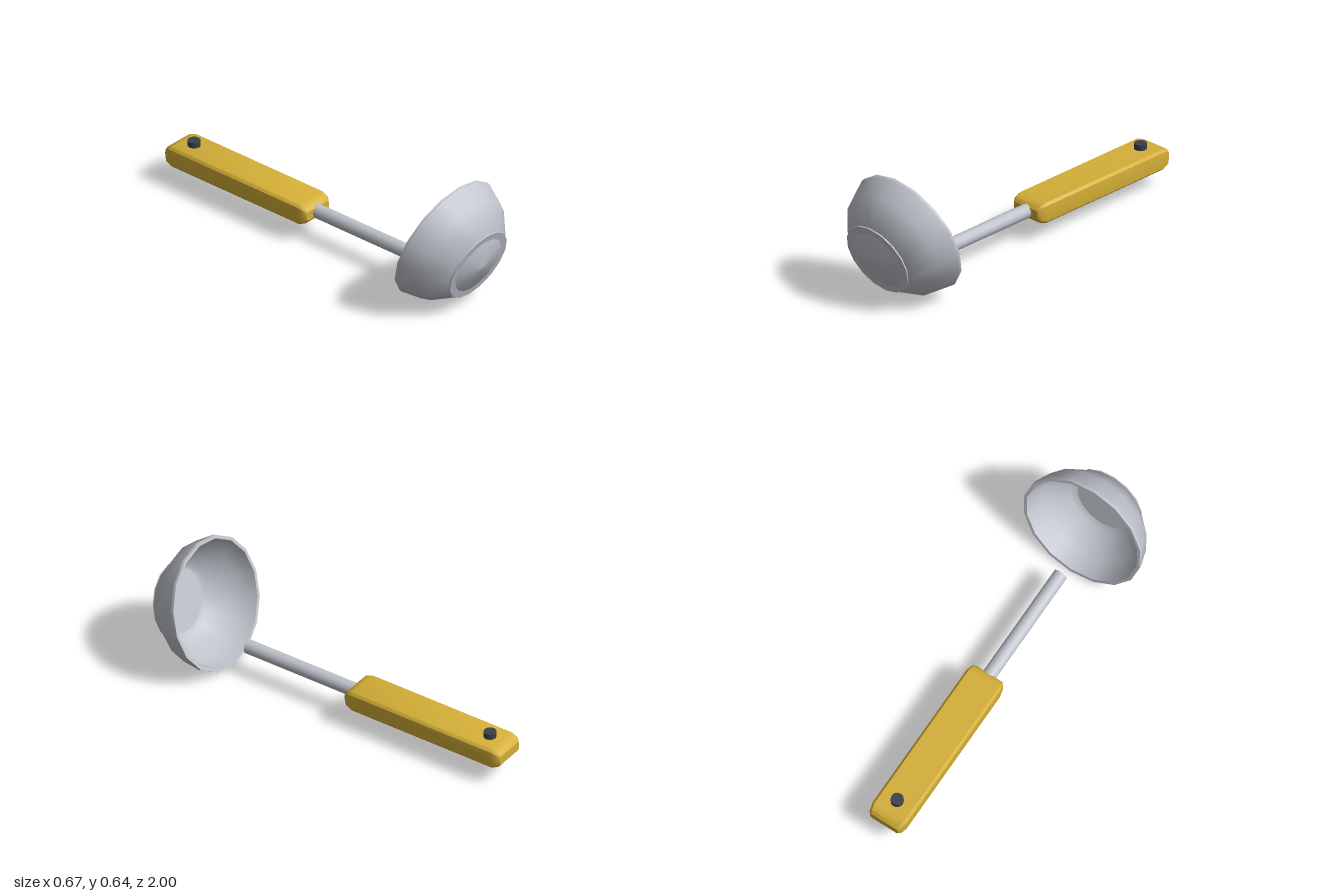
import * as THREE from 'three';
import { toCreasedNormals } from 'three/addons/utils/BufferGeometryUtils.js';

const material = (name, color) => {
  const m = new THREE.MeshStandardMaterial({ color });
  m.name = name;
  return m;
};

function add(parent, name, geometry, mat, x = 0, y = 0, z = 0) {
  const mesh = new THREE.Mesh(geometry, mat);
  mesh.name = name;
  mesh.position.set(x, y, z);
  parent.add(mesh);
  return mesh;
}

const lathe = (...points) =>
  new THREE.LatheGeometry(points.map(([r, y]) => new THREE.Vector2(r, y)), 16);

// Bevelled bar: one faceted cross-section, scaled ring by ring along z
function gripGeometry(halfLength) {
  const quarter = [[0.1, 0], [0.097, 0.042], [0.085, 0.054]];
  const half = [...quarter, ...quarter.slice(1).reverse().map(([x, y]) => [-x, y])];
  const section = [...half, [-0.1, 0], ...half.slice(1).map(([x, y]) => [-x, -y])];
  const end = [[0, 0.8, 0.45], [0.015, 0.92, 0.78], [0.05, 1, 1]]; // inset, x scale, y scale
  const rings = [
    ...end.map(([d, sx, sy]) => [d - halfLength, sx, sy]),
    ...end.slice().reverse().map(([d, sx, sy]) => [halfLength - d, sx, sy]),
  ];
  const n = section.length;
  const positions = [];
  const index = [];
  for (const [z, sx, sy] of rings) {
    for (const [x, y] of section) positions.push(x * sx, y * sy, z);
  }
  for (let r = 0; r < rings.length - 1; r++) {
    for (let i = 0; i < n; i++) {
      const a = r * n + i;
      const b = r * n + (i + 1) % n;
      index.push(a, b, b + n, a, b + n, a + n);
    }
  }
  // End caps
  const last = (rings.length - 1) * n;
  for (let i = 1; i < n - 1; i++) {
    index.push(0, i + 1, i, last, last + i, last + i + 1);
  }
  const g = new THREE.BufferGeometry();
  g.setAttribute('position', new THREE.Float32BufferAttribute(positions, 3));
  g.setIndex(index);
  return toCreasedNormals(g, 0.6);
}

export function createModel() {
  const model = new THREE.Group();
  model.name = 'ladle';
  const steel = material('steel', 0xc0c4cc);
  const yellow = material('mustard yellow', 0xd4af37);
  const dark = material('dark slate', 0x3a404a);

  // Tilted bowl, its axis running from the rim out to the base
  const bowl = new THREE.Group();
  bowl.name = 'bowl';
  bowl.position.set(0, 0.319, 0.714);
  bowl.rotation.x = THREE.MathUtils.degToRad(108);
  model.add(bowl);
  add(bowl, 'bowlOutside', lathe([0.333, 0.013], [0.299, 0.113], [0.195, 0.229], [0, 0.264]), steel);
  add(bowl, 'bowlInside', lathe([0.157, 0.213], [0.19, 0.2], [0.285, 0.105], [0.316, 0]), steel);
  add(bowl, 'bowlFloor', lathe([0, 0.213], [0.157, 0.213]), steel);
  add(bowl, 'rimFace', lathe([0.316, 0], [0.333, 0]), steel);
  add(bowl, 'rimEdge', lathe([0.333, 0], [0.333, 0.013]), steel);
  add(bowl, 'baseRing', new THREE.CylinderGeometry(0.195, 0.195, 0.02, 16), steel, 0, 0.226, 0);

  // Straight shaft
  const shaft = new THREE.CylinderGeometry(0.036, 0.036, 0.68, 12).rotateX(Math.PI / 2);
  add(model, 'shaft', shaft, steel, 0, 0.142, 0.19);

  // Handle grip with a stud near its end
  add(model, 'grip', gripGeometry(0.455), yellow, 0, 0.143, -0.545);
  add(model, 'stud', new THREE.CylinderGeometry(0.032, 0.032, 0.06, 12), dark, 0, 0.196, -0.885);

  return model;
}
